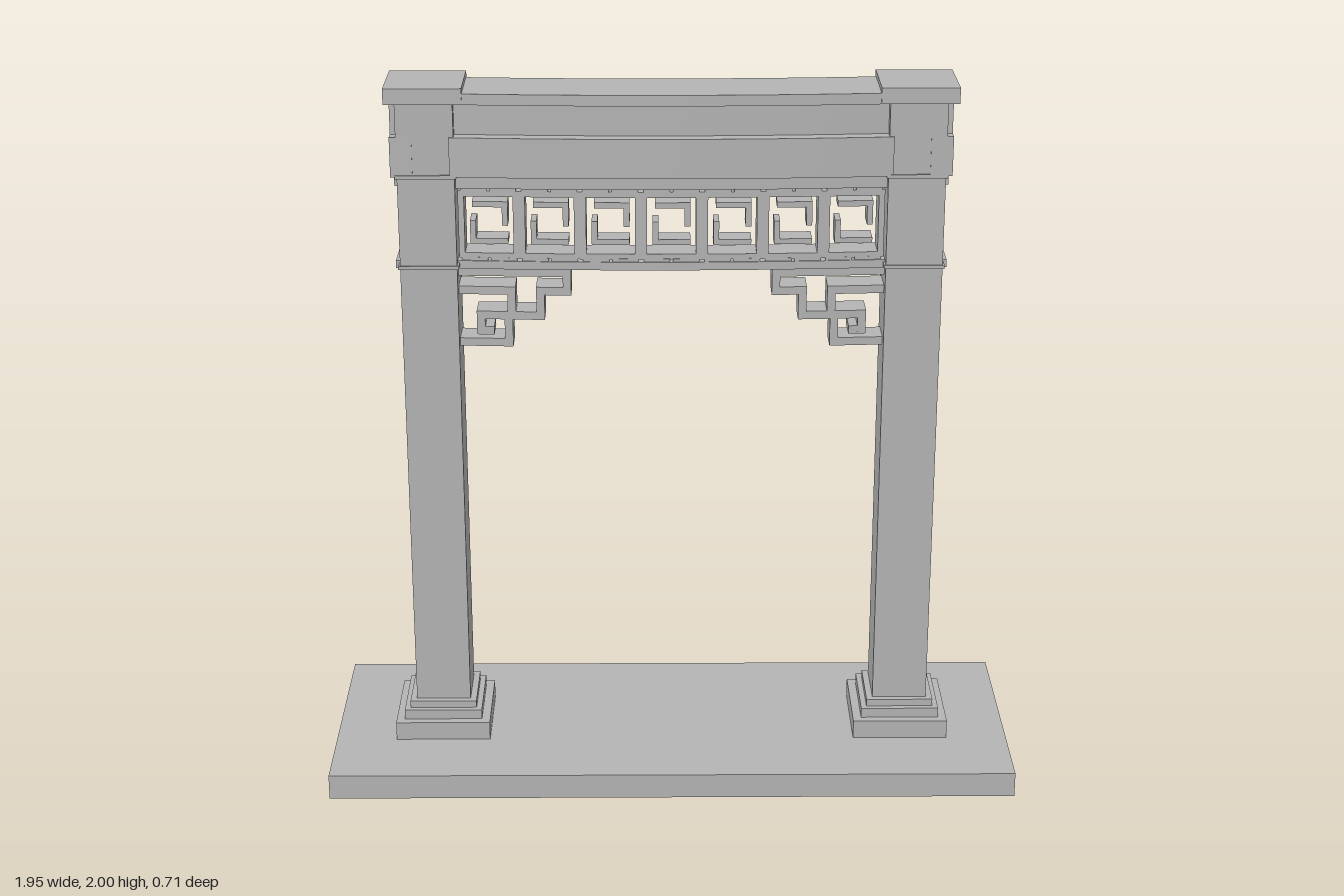
import * as THREE from 'three';

const COLUMN_X = 0.665;
const INNER = 0.588; // inner face of the columns

export function createModel() {
  const model = new THREE.Group();
  model.name = 'archway';
  const stone = new THREE.MeshStandardMaterial({ color: 0xb4b4b4 });
  stone.name = 'grey stone';

  const add = (parent, name, geometry) => {
    const mesh = new THREE.Mesh(geometry, stone);
    mesh.name = name;
    parent.add(mesh);
  };
  const group = (name) => {
    const g = new THREE.Group();
    g.name = name;
    model.add(g);
    return g;
  };
  // Box given by its limits
  const box = (x0, x1, y0, y1, z0, z1, segments = 1) =>
    new THREE.BoxGeometry(x1 - x0, y1 - y0, z1 - z0, segments, 1, 1)
      .translate((x0 + x1) / 2, (y0 + y1) / 2, (z0 + z1) / 2);
  // Everything spanning the opening bows gently towards the front
  const bow = (geometry) => {
    const p = geometry.attributes.position;
    for (let i = 0; i < p.count; i++) {
      const t = Math.min(1, Math.abs(p.getX(i)) / INNER);
      p.setZ(i, p.getZ(i) + 0.022 * (1 - t * t));
    }
    geometry.computeVertexNormals();
    return geometry;
  };
  const beam = (parent, name, half, y0, y1, z0, z1) =>
    add(parent, name, bow(box(-half, half, y0, y1, z0, z1, 16)));

  add(model, 'base', box(-0.975, 0.975, 0, 0.072, -0.355, 0.355));

  // Columns with stepped plinths, collars, caps and beam ends
  for (const side of [1, -1]) {
    const column = group(side > 0 ? 'leftColumn' : 'rightColumn');
    const block = (name, half, y0, y1, depth = half) =>
      add(column, name, box(side * COLUMN_X - half, side * COLUMN_X + half, y0, y1, -depth, depth));
    block('plinthLower', 0.136, 0.072, 0.126);
    block('plinthMiddle', 0.112, 0.126, 0.155);
    block('plinthUpper', 0.096, 0.155, 0.176);
    block('shaft', 0.078, 0.176, 1.96);
    block('lowerCollar', 0.083, 1.488, 1.498);
    block('upperCollar', 0.083, 1.745, 1.755);
    block('cap', 0.105, 1.956, 2);
    const end = (name, y0, y1, z0, z1, out) => {
      const a = side * 0.7, b = side * out;
      add(column, name, box(Math.min(a, b), Math.max(a, b), y0, y1, z0, z1));
    };
    end('friezeEnd', 1.86, 1.95, -0.08, 0.045, 0.76);
    end('lintelEnd', 1.75, 1.86, -0.08, 0.08, 0.76);
    end('upperRailEnd', 1.717, 1.75, -0.058, 0.048, 0.753);
    end('lowerRailEnd', 1.482, 1.504, -0.055, 0.046, 0.757);
  }

  // Bowed lintel
  const lintel = group('lintel');
  beam(lintel, 'coping', 0.565, 1.955, 1.985, -0.09, 0.1);
  beam(lintel, 'frieze', 0.6, 1.86, 1.955, -0.055, 0.045);
  beam(lintel, 'mainBeam', 0.6, 1.75, 1.86, -0.08, 0.082);
  beam(lintel, 'upperRail', 0.6, 1.71, 1.75, -0.058, 0.048);
  beam(lintel, 'lowerRail', 0.6, 1.481, 1.504, -0.055, 0.046);

  // Crossed lattice along the back of the frieze
  const lattice = group('backLattice');
  beam(lattice, 'latticeTopBorder', INNER, 1.944, 1.955, -0.078, -0.05);
  beam(lattice, 'latticeBottomBorder', INNER, 1.86, 1.871, -0.078, -0.05);
  const crosses = 13, step = (2 * INNER) / crosses;
  for (let i = 0; i < crosses; i++) {
    for (const dir of [1, -1]) {
      const angle = dir * Math.atan2(0.08, step);
      const bar = new THREE.BoxGeometry(Math.hypot(0.08, step), 0.012, 0.026)
        .rotateZ(angle)
        .translate(-INNER + (i + 0.5) * step, 1.9075, dir > 0 ? -0.064 : -0.0635);
      add(lattice, 'latticeBar', bow(bar));
    }
  }

  // Seven fretwork frames between the rails
  const fretwork = group('fretwork');
  const pitch = 0.1665, Z = 0.042;
  for (let i = -3; i <= 3; i++) {
    const cx = i * pitch;
    const bar = (name, x0, x1, y0, y1, z = Z) =>
      add(fretwork, name, bow(box(cx + x0, cx + x1, y0, y1, -z, z)));
    bar('frameTop', -0.083, 0.083, 1.686, 1.702);
    bar('frameBottom', -0.083, 0.083, 1.511, 1.526);
    for (const s of [-1, 1]) {
      bar('frameSide', s * 0.075 - 0.0083, s * 0.075 + 0.0083, 1.511, 1.702);
      // short spacers tie the frame to both rails
      bar('upperSpacer', s * 0.04 - 0.036, s * 0.04 + 0.036, 1.7, 1.712);
      bar('lowerSpacer', s * 0.04 - 0.036, s * 0.04 + 0.036, 1.502, 1.513);
    }
    bar('keyTop', -0.045, 0.052, 1.654, 1.67, 0.034);
    bar('keyRight', 0.036, 0.052, 1.602, 1.656, 0.034);
    bar('keyLeft', -0.052, -0.036, 1.552, 1.616, 0.034);
    bar('keyBottom', -0.052, 0.052, 1.55, 1.565, 0.034);
  }

  // Angular scroll brackets: each run is a centre line of [distance from column, height]
  const runs = [
    [[0, 1.47], [0.3, 1.47], [0.3, 1.417], [0.226, 1.417], [0.226, 1.345], [0.06, 1.345], [0.06, 1.3]],
    [[0, 1.417], [0.146, 1.417], [0.146, 1.345], [0.137, 1.345], [0.137, 1.266], [0, 1.266]],
    [[0.06, 1.3], [0.085, 1.3]],
  ];
  const w = 0.0115;
  for (const side of [1, -1]) {
    const bracket = group(side > 0 ? 'leftBracket' : 'rightBracket');
    for (const run of runs) {
      for (let i = 1; i < run.length; i++) {
        const [[a, b], [c, d]] = [run[i - 1], run[i]];
        const xa = side * (INNER - a), xc = side * (INNER - c);
        add(bracket, 'bracketBar', bow(box(
          Math.min(xa, xc) - w, Math.max(xa, xc) + w,
          Math.min(b, d) - w, Math.max(b, d) + w, -0.045, 0.04)));
      }
    }
  }
  return model;
}
